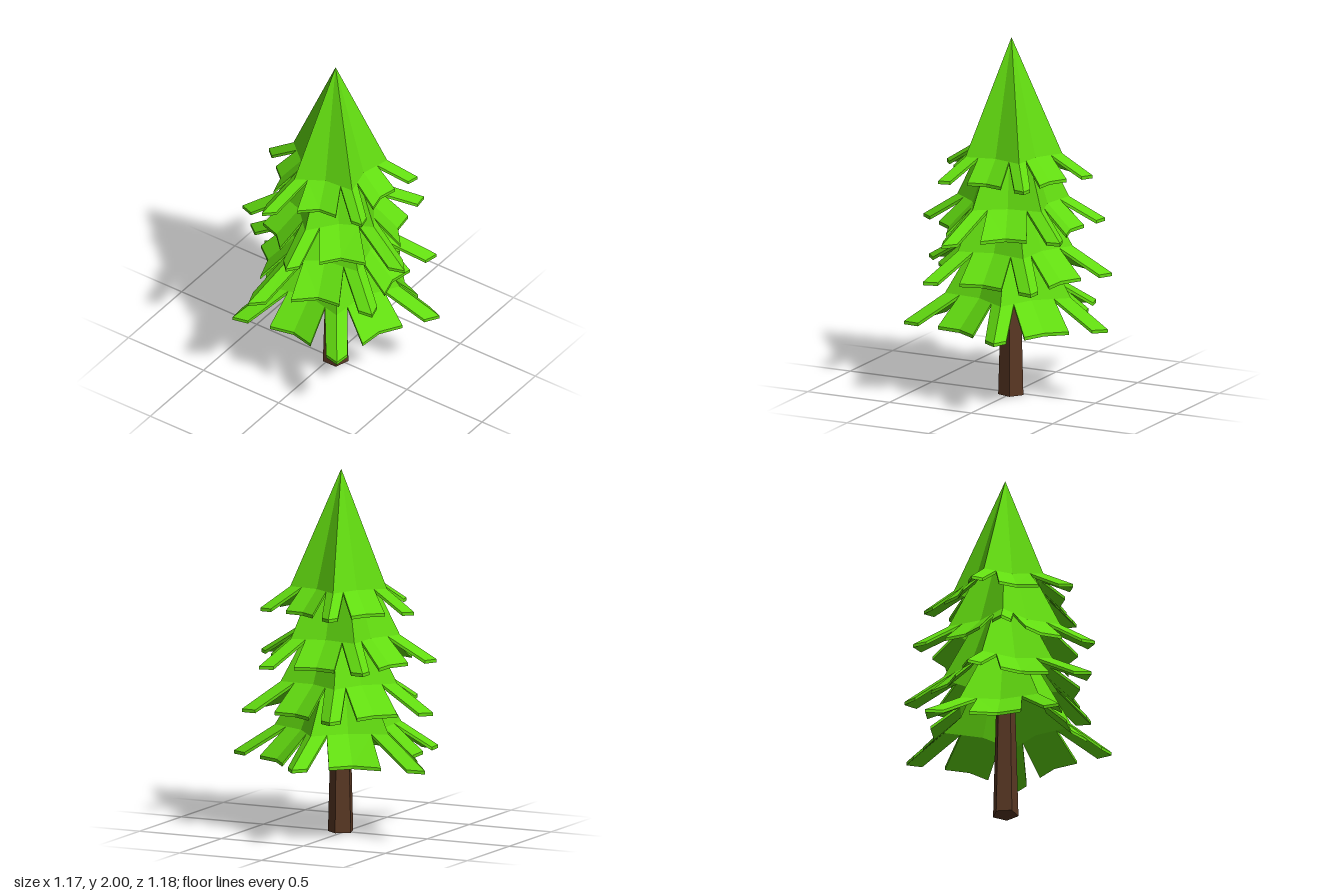
import * as THREE from 'three';

const AXIS_X = 0.025;   // the tree axis sits slightly off centre
const MID = 0.67;       // radius of a valley relative to a ridge
const THICK = 0.018;    // thickness of the foliage shell
const STEP = (Math.PI * 2) / 5;

const leaf = new THREE.MeshStandardMaterial({ color: 0x62dc10, flatShading: true });
const bark = new THREE.MeshStandardMaterial({ color: 0x5a3824, flatShading: true });

const polar = (angle, r, y) => new THREE.Vector3(Math.cos(angle) * r, y, Math.sin(angle) * r);

// One five-ridged hollow tier: a cone on top, then a flared skirt cut into ten flaps.
// The first ridge flap is longer and droops.
function foliageTier({ apexY, ringY, ringR, hemY, hemR, longR, angle }) {
  const positions = [];
  const tri = (a, b, c, flip) => {
    for (const p of flip ? [a, c, b] : [a, b, c]) positions.push(p.x, p.y, p.z);
  };
  const quad = (a, b, c, d, flip) => { tri(a, b, c, flip); tri(a, c, d, flip); };
  const lower = (p) => p.clone().setY(p.y - THICK);
  const apex = new THREE.Vector3(0, apexY, 0);

  for (let k = 0; k < 5; k++) {
    const ridgeAngle = angle + k * STEP;
    for (const side of [1, -1]) {
      const valleyAngle = ridgeAngle + (side * STEP) / 2;
      const ridge = polar(ridgeAngle, ringR, ringY);
      const valley = polar(valleyAngle, ringR * MID, ringY);
      const notch = ridge.clone().lerp(valley, 0.43);
      const tip = polar(ridgeAngle, k ? hemR : longR, k ? hemY : hemY - 0.018);
      const hem = polar(valleyAngle, hemR * MID, hemY);
      const tipEnd = tip.clone().lerp(hem, 0.25);
      const hemEnd = tip.clone().lerp(hem, 0.61);

      // outer skin, then the same skin lowered and turned inwards
      for (const inner of [false, true]) {
        const f = (side < 0) !== inner;
        const [A, R, V, N, T, H, TE, HE] = [apex, ridge, valley, notch, tip, hem, tipEnd, hemEnd]
          .map((p) => (inner ? lower(p) : p));
        tri(A, N, R, f);
        tri(A, V, N, f);
        quad(R, N, TE, T, f);
        quad(N, V, H, HE, f);
      }
      // rim along the cut edge
      const rim = [tip, tipEnd, notch, hemEnd, hem];
      for (let i = 0; i < 4; i++) {
        quad(rim[i], rim[i + 1], lower(rim[i + 1]), lower(rim[i]), side < 0);
      }
    }
  }
  const geometry = new THREE.BufferGeometry();
  geometry.setAttribute('position', new THREE.Float32BufferAttribute(positions, 3));
  geometry.computeVertexNormals();
  return new THREE.Mesh(geometry, leaf);
}

export function createModel() {
  const tree = new THREE.Group();
  tree.name = 'pineTree';

  // tapered five-sided trunk with a flat face to the front
  const trunkGeometry = new THREE.CylinderGeometry(0.056, 0.073, 0.62, 5);
  trunkGeometry.rotateY(Math.PI);
  const trunk = new THREE.Mesh(trunkGeometry, bark);
  trunk.name = 'trunk';
  trunk.position.set(AXIS_X, 0.31, 0);
  tree.add(trunk);

  // foliage from top to bottom; angle (degrees) points at the long flap
  const tiers = [
    { apexY: 2.0, ringY: 1.36, ringR: 0.28, hemY: 1.245, hemR: 0.445, longR: 0.5, angle: 108 },
    { apexY: 1.75, ringY: 1.09, ringR: 0.32, hemY: 0.958, hemR: 0.52, longR: 0.575, angle: 14 },
    { apexY: 1.46, ringY: 0.84, ringR: 0.335, hemY: 0.695, hemR: 0.55, longR: 0.612, angle: 105.6 },
    { apexY: 1.2, ringY: 0.58, ringR: 0.365, hemY: 0.43, hemR: 0.59, longR: 0.645, angle: 198 },
  ];
  tiers.forEach((t, i) => {
    const tier = foliageTier({ ...t, angle: THREE.MathUtils.degToRad(t.angle) });
    tier.name = `foliageTier${i + 1}`;
    tier.position.x = AXIS_X;
    tree.add(tier);
  });
  return tree;
}
